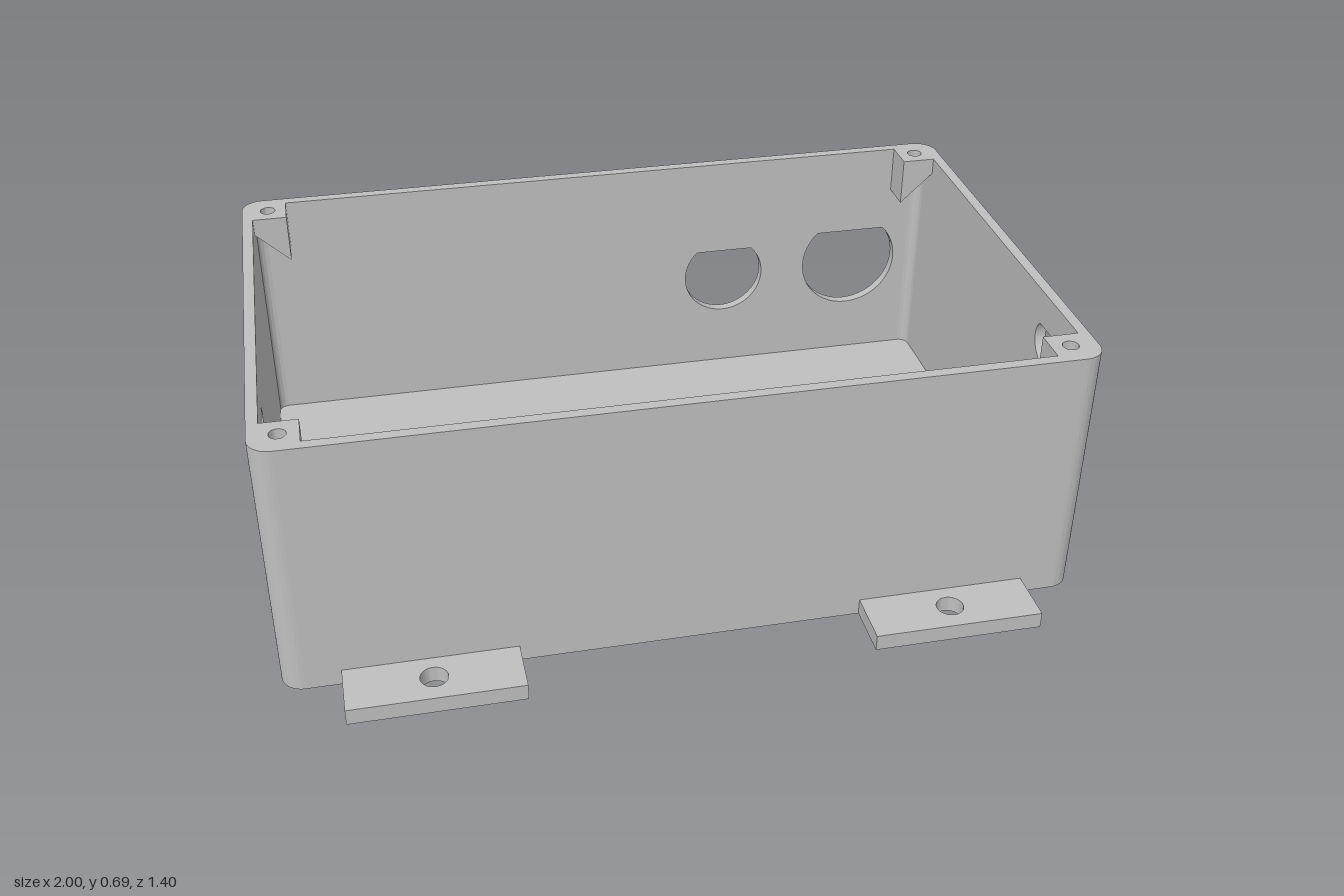
import * as THREE from 'three';
import { toCreasedNormals } from 'three/addons/utils/BufferGeometryUtils.js';

const H = 0.686;              // box height
const W = 0.028;              // wall and floor thickness
const R = 0.055;              // outer corner radius
const BACK = -0.698, FRONT = 0.556;
const ZC = (BACK + FRONT) / 2, HZ = (FRONT - BACK) / 2;

const grey = new THREE.MeshStandardMaterial({ color: 0xbfbfbf });
grey.name = 'grey plastic';

function rect(x0, y0, x1, y1) {
  return new THREE.Shape([[x0, y0], [x1, y0], [x1, y1], [x0, y1]].map(p => new THREE.Vector2(...p)));
}

function circle(x, y, r) {
  return new THREE.Path().absarc(x, y, r, 0, Math.PI * 2, true);
}

// Round hole with a 45 degree peak
function teardrop(x, y, r) {
  const p = new THREE.Path();
  p.moveTo(x, y + r * Math.SQRT2);
  p.absarc(x, y, r, Math.PI * 0.75, Math.PI * 2.25, false);
  p.closePath();
  return p;
}

// Square hole with a 45 degree peak
function houseHole(x, y, half, side) {
  return new THREE.Path([
    [x - half, y], [x + half, y], [x + half, y + side], [x, y + side + half], [x - half, y + side],
  ].map(p => new THREE.Vector2(...p)));
}

function extrude(shape, depth) {
  return new THREE.ExtrudeGeometry(shape, { depth, bevelEnabled: false, curveSegments: 24 });
}

function part(name, geometry) {
  const mesh = new THREE.Mesh(toCreasedNormals(geometry, 0.5), grey);
  mesh.name = name;
  return mesh;
}

// Horizontal slab from a plan shape whose y is -z
function slab(name, shape, y, height) {
  return part(name, extrude(shape, height).rotateX(-Math.PI / 2).translate(0, y, 0));
}

// Upright panel: local x runs along the wall, its thickness points outward
function wall(name, half, holes, angle, x, z, depth = W) {
  const shape = rect(-half, 0, half, H);
  shape.holes.push(...holes);
  const mesh = part(name, extrude(shape, depth));
  mesh.rotation.y = angle;
  mesh.position.set(x, 0, z);
  return mesh;
}

export function createModel() {
  const model = new THREE.Group();
  model.name = 'enclosure';
  const halfX = 1 - R, halfZ = HZ - R;

  // Floor between the walls
  const ix = 1 - W, iz = HZ - W;
  const floor = slab('floor', rect(-ix, -iz, ix, iz), 0, W);
  floor.position.z = ZC;
  model.add(floor);

  // Front and side walls
  const dz = 0.273 - ZC;
  const ports = u => [teardrop(u, 0.357, 0.057), teardrop(u, 0.557, 0.057)];
  model.add(wall('frontWall', halfX, [], 0, 0, FRONT - W));
  model.add(wall('leftWall', halfZ, ports(-dz), Math.PI / 2, 1 - W, ZC));
  model.add(wall('rightWall', halfZ, [...ports(dz), houseHole(dz, 0.045, 0.064, 0.122)],
    -Math.PI / 2, -1 + W, ZC));

  // Back wall in two layers so the round recesses stay blind
  const cable = () => [teardrop(-0.764, 0.33, 0.143), teardrop(-0.374, 0.322, 0.117)];
  const recesses = [];
  for (const x of [-0.853, 0.853]) for (const y of [0.1, 0.586]) recesses.push(circle(x, y, 0.077));
  model.add(wall('backWallInner', halfX, cable(), Math.PI, 0, BACK + W, W / 2));
  model.add(wall('backWallOuter', halfX, [...cable(), ...recesses], Math.PI, 0, BACK + W / 2, W / 2));

  // Rounded corners and the screw posts inside them
  for (const sx of [-1, 1]) {
    for (const sz of [-1, 1]) {
      const start = Math.atan2(-sz, sx) - Math.PI / 4;
      const arc = new THREE.Shape();
      arc.absarc(0, 0, R, start, start + Math.PI / 2, false);
      arc.absarc(0, 0, R - W, start + Math.PI / 2, start, true);
      const corner = slab('corner', arc, 0, H);
      corner.position.set(sx * halfX, 0, ZC + sz * halfZ);
      model.add(corner);

      const size = 0.09, top = 0.046;
      const post = new THREE.Group();
      post.name = 'screwPost';
      const plan = rect(-size / 2, -size / 2, size / 2, size / 2);
      plan.holes.push(circle(sx * 0.004, -sz * 0.006, 0.02));
      post.add(slab('postTop', plan, -top, top));
      // Sloped underside, deepest at the inner edge
      const wedge = new THREE.Shape([
        new THREE.Vector2(sx * size / 2, -top),
        new THREE.Vector2(-sx * size / 2, -top),
        new THREE.Vector2(-sx * size / 2, -top - 0.085),
      ]);
      post.add(part('postWedge', extrude(wedge, size).translate(0, 0, -size / 2)));
      post.position.set(sx * (ix - size / 2), H, ZC + sz * (iz - size / 2));
      model.add(post);
    }

    // Mounting lugs at the front
    const lug = rect(-0.214, -0.698, 0.214, -FRONT);
    lug.holes.push(circle(0, -0.624, 0.034));
    const mount = slab('mountingLug', lug, 0, 0.043);
    mount.position.x = sx * 0.643;
    model.add(mount);
  }
  return model;
}
